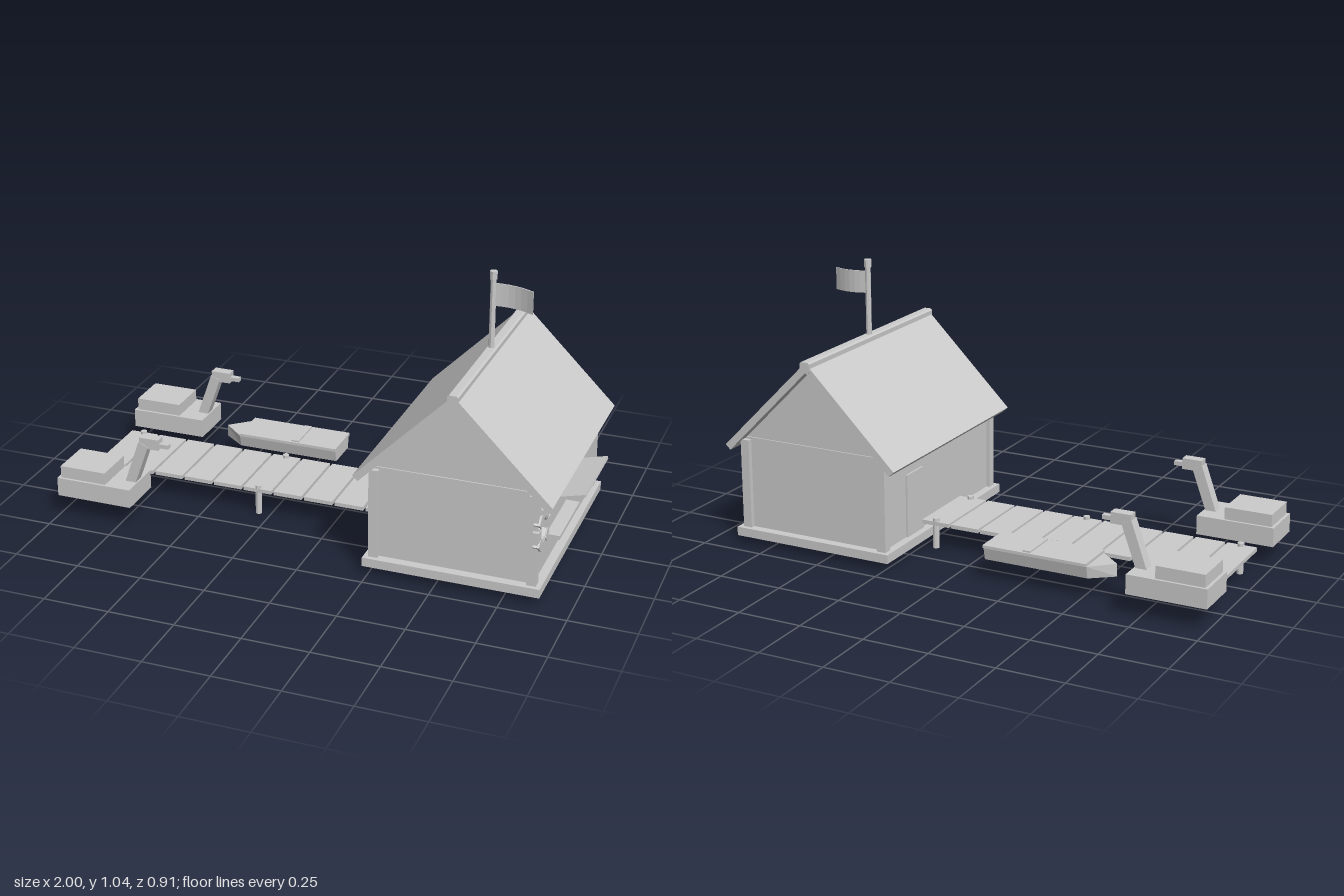
import * as THREE from 'three';

const grey = new THREE.MeshStandardMaterial({ color: 0xcccccc, flatShading: true });
grey.name = 'plain grey';
const greySheet = grey.clone();
greySheet.name = 'plain grey sheet';
greySheet.side = THREE.DoubleSide;

function add(parent, name, geometry, x = 0, y = 0, z = 0, material = grey) {
  const mesh = new THREE.Mesh(geometry, material);
  mesh.name = name;
  mesh.position.set(x, y, z);
  parent.add(mesh);
  return mesh;
}

// Box given by its limits on each axis
function box(parent, name, x0, x1, y0, y1, z0, z1) {
  return add(parent, name, new THREE.BoxGeometry(x1 - x0, y1 - y0, z1 - z0),
    (x0 + x1) / 2, (y0 + y1) / 2, (z0 + z1) / 2);
}

function shapeOf(points) {
  return new THREE.Shape(points.map(([x, y]) => new THREE.Vector2(x, y)));
}

function group(parent, name) {
  const g = new THREE.Group();
  g.name = name;
  parent.add(g);
  return g;
}

const RIDGE = 0.557;

function buildHouse(root) {
  const house = group(root, 'house');
  box(house, 'foundation', 0.23, 0.885, 0.033, 0.067, -0.445, 0.445);
  box(house, 'walls', 0.262, 0.852, 0.067, 0.42, -0.41, 0.41);

  // Gable ends, as one prism under the roof
  const gable = new THREE.ExtrudeGeometry(
    shapeOf([[-0.295, 0.42], [0.295, 0.42], [0, 0.715]]), { depth: 0.81, bevelEnabled: false });
  add(house, 'gable', gable, RIDGE, 0, -0.405);

  for (const sx of [-1, 1]) {
    // Roof slope with square-cut eaves
    const slope = shapeOf([[0, 0.714], [sx * 0.342, 0.372], [sx * 0.362, 0.391], [0, 0.752]]);
    add(house, 'roofSlope', new THREE.ExtrudeGeometry(slope, { depth: 0.9, bevelEnabled: false }),
      RIDGE, 0, -0.45);
    for (const sz of [-1, 1]) {
      add(house, 'cornerPost', new THREE.BoxGeometry(0.035, 0.345, 0.034),
        RIDGE + sx * 0.292, 0.2395, sz * 0.411);
    }
  }

  // Bevelled ridge cap
  const cap = new THREE.ExtrudeGeometry(
    shapeOf([[-0.02, -0.014], [-0.014, -0.02], [0.014, -0.02], [0.02, -0.014],
      [0.02, 0.014], [0.014, 0.02], [-0.014, 0.02], [-0.02, 0.014]]),
    { depth: 0.91, bevelEnabled: false });
  add(house, 'ridgeCap', cap, RIDGE, 0.735, -0.455);

  // Doors and serving hatch
  box(house, 'frontDoor', 0.852, 0.859, 0.067, 0.31, -0.292, -0.178);
  box(house, 'dockDoor', 0.255, 0.262, 0.067, 0.31, -0.25, -0.13);
  box(house, 'hatchPanel', 0.852, 0.858, 0.195, 0.335, 0.012, 0.27);
  box(house, 'counter', 0.852, 0.908, 0.184, 0.199, 0.001, 0.28);
  const awning = add(house, 'awning', new THREE.BoxGeometry(0.142, 0.01, 0.326), 0.928, 0.366, 0.141);
  awning.rotation.z = 0.25;

  for (const z of [0.365, -0.081]) buildLifeRing(house, z);
}

// Octagonal ring with a block on each of its eight sides
function buildLifeRing(house, z) {
  const ring = group(house, 'lifeRing');
  ring.position.set(0.862, 0.265, z);
  ring.rotation.y = Math.PI / 2;
  const octagon = (r) => Array.from({ length: 8 }, (_, i) => {
    const a = (i + 0.5) * Math.PI / 4;
    return [r * Math.cos(a), r * Math.sin(a)];
  });
  const shape = shapeOf(octagon(0.066));
  shape.holes.push(new THREE.Path(octagon(0.041).map(([x, y]) => new THREE.Vector2(x, y))));
  add(ring, 'ringBody', new THREE.ExtrudeGeometry(shape, { depth: 0.018, bevelEnabled: false }), 0, 0, -0.009);
  for (let i = 0; i < 8; i++) {
    const a = i * Math.PI / 4;
    const block = add(ring, 'ringBlock', new THREE.BoxGeometry(0.035, 0.037, 0.023),
      0.0615 * Math.cos(a), 0.0615 * Math.sin(a), 0);
    block.rotation.z = a;
  }
}

function buildFlag(root) {
  const flag = group(root, 'flag');
  add(flag, 'flagPole', new THREE.CylinderGeometry(0.011, 0.011, 0.28, 8), RIDGE, 0.885, 0);
  add(flag, 'poleKnob', new THREE.CylinderGeometry(0.014, 0.014, 0.03, 8), RIDGE, 1.03, 0);
  // Cloth rippling away from the pole
  const cloth = new THREE.BoxGeometry(0.145, 0.085, 0.005, 6, 1, 1);
  const p = cloth.attributes.position;
  for (let i = 0; i < p.count; i++) {
    const t = p.getX(i) / 0.145 + 0.5;
    p.setZ(i, p.getZ(i) - 0.008 * Math.sin(t * Math.PI) + 0.022 * t * t);
    p.setY(i, p.getY(i) - 0.006 * t);
  }
  cloth.computeVertexNormals();
  add(flag, 'flagCloth', cloth, 0.637, 0.957, 0, greySheet);
}

function buildDock(root) {
  const dock = group(root, 'dock');
  for (let i = 0; i < 10; i++) {
    const x = -0.97 + i * 0.123;
    box(dock, 'plank', x, x + 0.113, 0.091, 0.106, -0.15, 0.15);
  }
  for (const x of [-0.912, -0.298, 0.197]) {
    for (const z of [-0.138, 0.138]) {
      add(dock, 'dockPost', new THREE.CylinderGeometry(0.013, 0.013, 0.118, 8), x, 0.059, z);
    }
  }
}

// Bird-headed pleasure boat
function buildBirdBoat(root, z) {
  const boat = group(root, 'birdBoat');
  boat.position.z = z;
  box(boat, 'hull', -1, -0.7, 0.082, 0.155, -0.091, 0.091);
  box(boat, 'cabin', -0.988, -0.805, 0.155, 0.202, -0.081, 0.081);
  const neck = shapeOf([[-0.75, 0.15], [-0.708, 0.15], [-0.65, 0.31], [-0.688, 0.325]]);
  add(boat, 'neck', new THREE.ExtrudeGeometry(neck, { depth: 0.044, bevelEnabled: false }), 0, 0, -0.022);
  box(boat, 'head', -0.685, -0.608, 0.302, 0.344, -0.02, 0.02);
  box(boat, 'beak', -0.61, -0.572, 0.309, 0.325, -0.011, 0.011);
}

function buildRowBoat(root) {
  const boat = group(root, 'rowBoat');
  boat.position.z = -0.285;
  // Hull drawn in plan, narrowed towards the keel
  const plan = shapeOf([[-0.61, 0], [-0.525, -0.075], [-0.12, -0.075], [-0.12, 0.075], [-0.525, 0.075]]);
  const hull = new THREE.ExtrudeGeometry(plan, { depth: 0.048, bevelEnabled: false });
  hull.rotateX(-Math.PI / 2);
  const p = hull.attributes.position;
  for (let i = 0; i < p.count; i++) if (p.getY(i) < 0.01) p.setZ(i, p.getZ(i) * 0.85);
  hull.computeVertexNormals();
  add(boat, 'hull', hull, 0, 0.082, 0);
  box(boat, 'deck', -0.525, -0.118, 0.13, 0.141, -0.08, 0.08);
  box(boat, 'seatBack', -0.305, -0.275, 0.141, 0.147, -0.072, 0.072);
}

export function createModel() {
  const root = new THREE.Group();
  root.name = 'boathouse';
  buildHouse(root);
  buildFlag(root);
  buildDock(root);
  for (const z of [-0.328, 0.328]) buildBirdBoat(root, z);
  buildRowBoat(root);
  return root;
}
